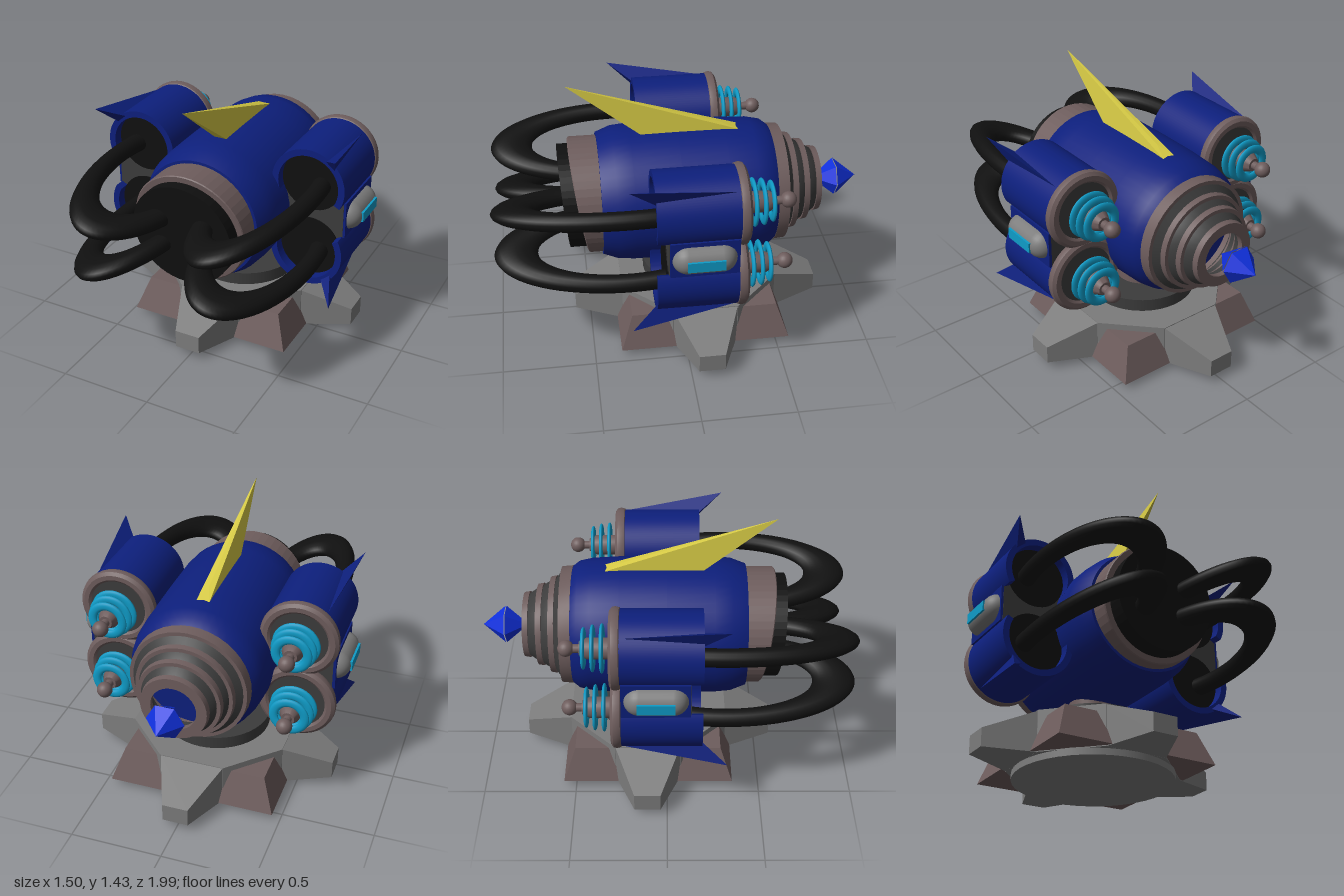
import * as THREE from 'three';
import { toCreasedNormals } from 'three/addons/utils/BufferGeometryUtils.js';
import { ConvexGeometry } from 'three/addons/geometries/ConvexGeometry.js';

const V = (x, y, z) => new THREE.Vector3(x, y, z);
const mat = (color, flatShading = false, side = THREE.FrontSide) =>
  new THREE.MeshStandardMaterial({ color, flatShading, side });
const navy = mat(0x0d1f7c), navyFlat = mat(0x0d1f7c, true), brown = mat(0x6e5d5d), brownFlat = mat(0x6e5d5d, true);
const black = mat(0x101010), dark = mat(0x3c3c3c), grey = mat(0x7c7c7c, true), capsuleGrey = mat(0x7c7c7c);
const teal = mat(0x0f9cc8), yellow = mat(0xd6ca45, true), blue = mat(0x1030dd, true);

function add(parent, name, geo, material, x = 0, y = 0, z = 0) {
  const mesh = new THREE.Mesh(geo, material);
  mesh.name = name;
  mesh.position.set(x, y, z);
  parent.add(mesh);
  return mesh;
}

function group(parent, name, x = 0, y = 0, z = 0) {
  const g = new THREE.Group();
  g.name = name;
  g.position.set(x, y, z);
  parent.add(g);
  return g;
}

// Revolve [radius, z] pairs (z increasing for outward faces) around the z axis
const turned = (pts, seg = 40) => toCreasedNormals(
  new THREE.LatheGeometry(pts.map(([r, z]) => new THREE.Vector2(r, z)), seg).rotateX(Math.PI / 2), 0.55);

// Slant a turned part so its upper half leans forward
function slant(geo, k, z0) {
  const p = geo.attributes.position;
  for (let i = 0; i < p.count; i++) if (p.getZ(i) > z0) p.setZ(i, p.getZ(i) + k * p.getY(i));
  geo.computeVertexNormals();
  return geo;
}

function buildBase(parent) {
  const base = group(parent, 'base', 0, 0, -0.105);
  add(base, 'footDisc', new THREE.CylinderGeometry(0.435, 0.435, 0.04, 40), capsuleGrey, 0, 0.02, 0);
  add(base, 'octagonPlate', new THREE.CylinderGeometry(0.465, 0.465, 0.225, 8).rotateY(Math.PI / 8), grey, 0, 0.1475, 0);
  add(base, 'cornerWedges', new THREE.CylinderGeometry(0.395 * Math.SQRT2, 0.46 * Math.SQRT2, 0.185, 4)
    .rotateY(Math.PI / 4), brownFlat, 0, 0.1325, 0);
  const corners = [];
  for (const s of [-1, 1]) {
    corners.push(V(s * 0.178, 0.26, 0.42), V(s * 0.178, 0.035, 0.42), V(s * 0.07, 0.15, 0.687), V(s * 0.07, 0.05, 0.687));
  }
  for (let i = 0; i < 4; i++) {
    add(base, 'footArm', new ConvexGeometry(corners), grey).rotation.y = i * Math.PI / 2;
  }
  add(base, 'turntable', new THREE.CylinderGeometry(0.295, 0.295, 0.07, 40), dark, 0, 0.295, 0);
  add(base, 'post', new THREE.CylinderGeometry(0.137, 0.137, 0.2, 32), brown, 0, 0.42, 0);
}

function buildBody(parent) {
  const body = group(parent, 'body', 0, 0.773, 0);
  add(body, 'barrel', turned([[0, -0.5], [0.31, -0.515], [0.345, -0.47], [0.36, -0.4], [0.368, -0.25],
    [0.37, 0], [0.368, 0.25], [0.36, 0.34], [0.33, 0.42], [0, 0.43]], 48), navy);
  add(body, 'frontCollar', slant(turned([[0.315, 0.4], [0.315, 0.525], [0.31, 0.53], [0.2, 0.53]], 48), 0.145, 0.5), brown);
  add(body, 'muzzle', slant(turned([[0.28, 0.42], [0.28, 0.61], [0, 0.612]], 48), 0.08, 0.5), black);

  // Stepped, hollow tail: brown lips alternating with dark cones
  const lips = [[0.32, -0.565, -0.505], [0.265, -0.625, -0.595], [0.225, -0.695, -0.665], [0.18, -0.77, -0.74]];
  lips.forEach(([r, z0, z1], i) => {
    add(body, 'tailLip', turned([[r - 0.06, z1], [r - 0.06, z0], [r - 0.005, z0], [r, z1], [r - 0.06, z1]]), brown);
    if (i) {
      const big = lips[i - 1][0] - 0.025;
      add(body, 'tailCone', turned([[r - 0.035, z0 + 0.01], [r - 0.01, z1], [big, lips[i - 1][1]],
        [big - 0.06, lips[i - 1][1]], [r - 0.045, z0 + 0.01]]), dark);
    }
  });
  const crystal = group(body, 'tailCrystal', 0, 0, -0.875);
  for (const s of [-1, 1]) {
    const half = new THREE.ConeGeometry(0.1, 0.12, 6, 1, true).rotateY(Math.PI / 6).rotateX(s * Math.PI / 2);
    // Turn the hexagon so two corners lie on the x axis
    add(crystal, 'crystalHalf', half.rotateZ(0), blue, 0, 0, s * 0.0625);
  }

  // Crest on top, sweeping forward
  add(body, 'crest', new ConvexGeometry([V(-0.035, 0.36, -0.33), V(0.035, 0.36, -0.33), V(0, 0.395, -0.23),
    V(-0.035, 0.365, 0.19), V(0.035, 0.365, 0.19), V(0, 0.655, 0.57)]), yellow);
}

// One pod, built as the upper left one with its centre at the origin
function buildPod(pod) {
  const a0 = -0.5, a1 = 3.6;
  const shell = new THREE.Shape();
  shell.absarc(0, 0, 0.2, a0, a1, false);
  shell.absarc(0, 0, 0.165, a1, a0, true);
  const shellGeo = new THREE.ExtrudeGeometry(shell, { depth: 0.43, bevelEnabled: false, curveSegments: 32 });
  add(pod, 'shell', toCreasedNormals(shellGeo, 0.6), navy, 0, 0, -0.25);
  add(pod, 'core', turned([[0, -0.27], [0.165, -0.27], [0.165, 0.125], [0, 0.126]]), black);
  add(pod, 'rearRing', turned([[0.15, -0.25], [0.15, -0.275], [0.165, -0.288], [0.19, -0.288], [0.207, -0.275],
    [0.21, -0.258], [0.205, -0.238], [0.19, -0.228], [0.15, -0.25]]), brown);
  add(pod, 'rearPlate', turned([[0, -0.278], [0.155, -0.277], [0.155, -0.25]]), dark);
  add(pod, 'stem', turned([[0, -0.44], [0.035, -0.44], [0.055, -0.4], [0.055, -0.27]], 24), brown);
  add(pod, 'neck', new THREE.CylinderGeometry(0.022, 0.022, 0.08, 16).rotateX(Math.PI / 2), brown, 0, 0, -0.46);
  add(pod, 'knob', new THREE.SphereGeometry(0.042, 20, 14), brown, 0, 0, -0.505);
  [[0.102, -0.325], [0.096, -0.372], [0.083, -0.418]].forEach(([r, z]) => {
    add(pod, 'coil', new THREE.TorusGeometry(r, 0.024, 10, 36).scale(1, 1, 0.45), teal, 0, 0, z);
  });
  // Swept fin on the outer diagonal
  add(pod, 'fin', new ConvexGeometry([V(0.2, 0, -0.22), V(0.18, -0.032, 0.18), V(0.18, 0.032, 0.18),
    V(0.225, 0, 0.15), V(0.3, 0, 0.31)]), navyFlat).rotation.z = 0.87;
}

// Flip a geometry vertically or sideways while keeping its faces outward
function mirrored(geo, sx, sy) {
  const g = (geo.index ? geo.toNonIndexed() : geo.clone()).scale(sx, sy, 1);
  if (sx * sy < 0) {
    for (const attr of Object.values(g.attributes)) {
      const n = attr.itemSize, a = attr.array;
      for (let i = 0; i < attr.count; i += 3) {
        for (let k = 0; k < n; k++) {
          const t = a[i * n + k];
          a[i * n + k] = a[(i + 2) * n + k];
          a[(i + 2) * n + k] = t;
        }
      }
    }
  }
  return g;
}

function buildSides(parent) {
  const source = new THREE.Group();
  buildPod(source);
  source.updateMatrixWorld(true);
  const hose = new THREE.TorusGeometry(0.245, 0.048, 16, 48, Math.PI + 0.9).rotateZ(-0.45)
    .rotateX(Math.PI / 2).scale(1, 1, 2.34).rotateZ(0.26);

  for (const sx of [-1, 1]) {
    const side = group(parent, sx > 0 ? 'leftSide' : 'rightSide');
    for (const sy of [-1, 1]) {
      const pod = group(side, sy > 0 ? 'upperPod' : 'lowerPod', sx * 0.493, 0.786 + sy * 0.19, 0);
      for (const part of source.children) {
        add(pod, part.name, mirrored(part.geometry.clone().applyMatrix4(part.matrixWorld), sx, sy), part.material);
      }
      add(side, 'hose', mirrored(hose, sx, sy), black, sx * 0.322, 0.772 + sy * 0.13, 0.303);
    }
    // Bridge between the two pods, with side panel and lit capsule
    add(side, 'bridge', new THREE.BoxGeometry(0.39, 0.36, 0.35), dark, sx * 0.475, 0.786, -0.055);
    add(side, 'sidePanel', new THREE.BoxGeometry(0.015, 0.2, 0.35), navy, sx * 0.675, 0.786, -0.057);
    add(side, 'capsule', new THREE.CapsuleGeometry(0.08, 0.17, 10, 24).rotateX(Math.PI / 2), capsuleGrey, sx * 0.663, 0.786, -0.055);
    add(side, 'window', new THREE.BoxGeometry(0.05, 0.055, 0.19), teal, sx * 0.724, 0.786, -0.055);
  }
}

export function createModel() {
  const model = new THREE.Group();
  model.name = 'turret';
  buildBase(model);
  buildBody(model);
  buildSides(model);
  return model;
}
